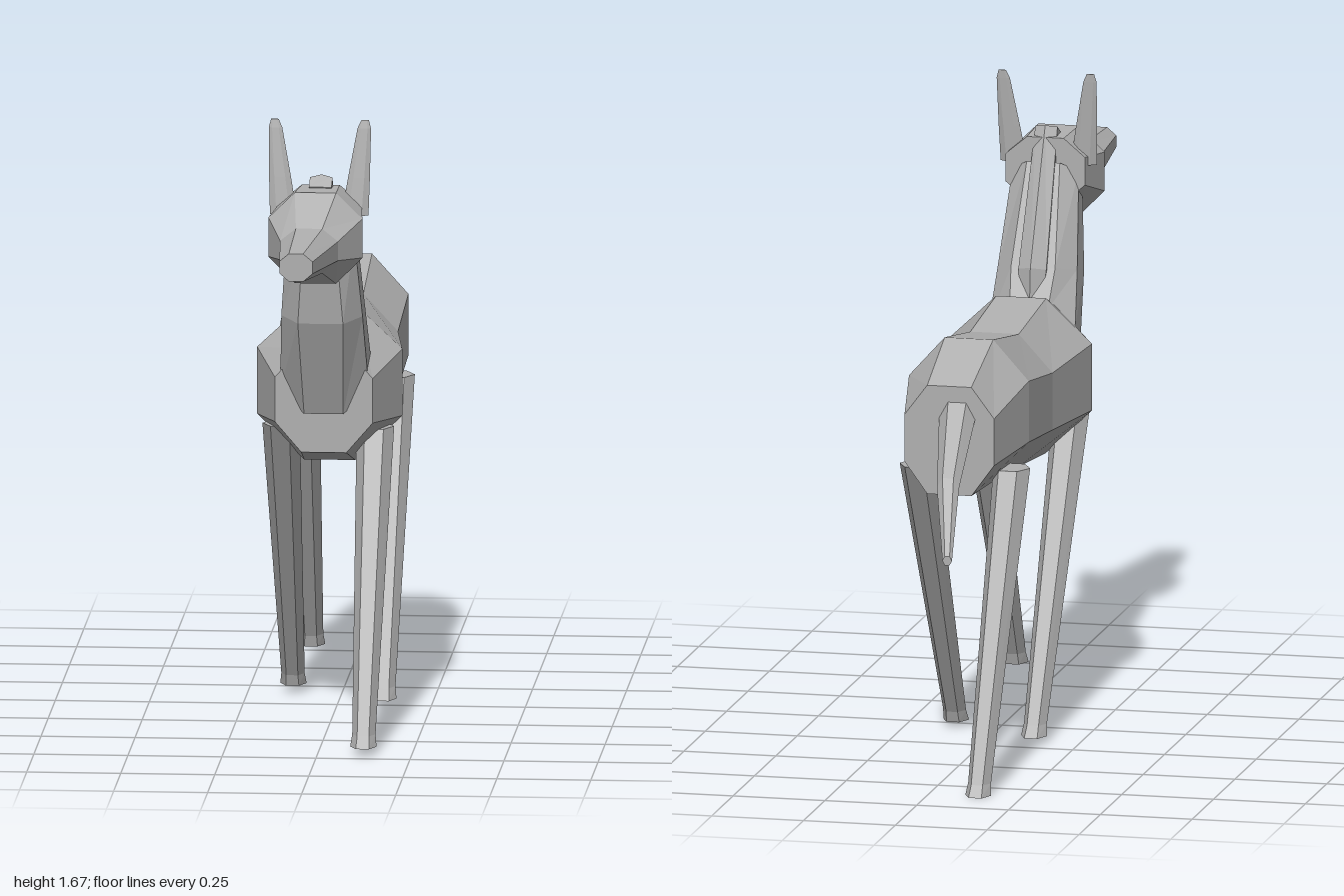
import * as THREE from 'three';

const grey = new THREE.MeshStandardMaterial({ color: 0xb0b0b0, flatShading: true });
grey.name = 'stone grey';

// Octagonal ring spanning from a lower [z, y] to an upper [z, y] point,
// w = half width, a = half width of the flat ends.
function octRing(x, low, high, w, a) {
  const corners = [[a, 0], [w, 0.29], [w, 0.72], [a, 1], [-a, 1], [-w, 0.72], [-w, 0.29], [-a, 0]];
  return corners.map(([dx, t]) => new THREE.Vector3(
    x + dx,
    THREE.MathUtils.lerp(low[1], high[1], t),
    THREE.MathUtils.lerp(low[0], high[0], t)));
}

// Six-sided ring lying level at height y.
function levelRing(x, y, z, rx, rz) {
  return Array.from({ length: 6 }, (_, i) => {
    const a = i * Math.PI / 3;
    return new THREE.Vector3(x + Math.cos(a) * rx, y, z + Math.sin(a) * rz);
  });
}

// Six-sided upright ring at depth z.
function uprightRing(x, y, z, rx, ry) {
  return Array.from({ length: 6 }, (_, i) => {
    const a = i * Math.PI / 3;
    return new THREE.Vector3(x + Math.cos(a) * rx, y + Math.sin(a) * ry, z);
  });
}

// Skins a list of rings, caps both ends and makes all faces point outwards.
function loft(name, rings) {
  const n = rings[0].length, tris = [];
  for (let r = 0; r < rings.length - 1; r++) {
    for (let i = 0; i < n; i++) {
      const j = (i + 1) % n, A = rings[r], B = rings[r + 1];
      tris.push([A[i], A[j], B[j]], [A[i], B[j], B[i]]);
    }
  }
  const first = rings[0], last = rings[rings.length - 1];
  for (let i = 1; i < n - 1; i++) {
    tris.push([first[0], first[i + 1], first[i]], [last[0], last[i], last[i + 1]]);
  }
  const cross = new THREE.Vector3();
  const volume = tris.reduce((s, [a, b, c]) => s + a.dot(cross.crossVectors(b, c)), 0);
  if (volume < 0) tris.forEach(t => t.reverse());
  const geometry = new THREE.BufferGeometry().setFromPoints(tris.flat());
  geometry.computeVertexNormals();
  const mesh = new THREE.Mesh(geometry, grey);
  mesh.name = name;
  return mesh;
}

export function createModel() {
  const model = new THREE.Group();
  model.name = 'deer';
  const cx = -0.005;

  // Body: z, bottom, top, half width
  model.add(loft('body', [
    [0.41, 0.76, 1.04, 0.13, 0.06],
    [0.2, 0.7, 1.12, 0.193, 0.068],
    [-0.11, 0.73, 1.09, 0.158, 0.066],
    [-0.41, 0.755, 1.14, 0.163, 0.066],
    [-0.64, 0.765, 1.06, 0.122, 0.06],
  ].map(([z, b, t, w, a]) => octRing(cx, [z, b], [z, t], w, a))));

  // Neck: front point, back point, half width
  model.add(loft('neck', [
    octRing(cx, [0.415, 0.865], [0.29, 1.07], 0.118, 0.052),
    octRing(cx, [0.528, 1.13], [0.34, 1.17], 0.108, 0.06),
    octRing(cx, [0.56, 1.34], [0.46, 1.43], 0.09, 0.045),
  ]));

  // Mane: narrow ridge along the back of the neck
  const maneRing = (y, z, w, h) => [
    new THREE.Vector3(cx - w, y - h * 0.5, z + h),
    new THREE.Vector3(cx - w, y - h * 0.1, z + h * 0.3),
    new THREE.Vector3(cx, y, z),
    new THREE.Vector3(cx + w, y - h * 0.1, z + h * 0.3),
    new THREE.Vector3(cx + w, y - h * 0.5, z + h),
  ];
  model.add(loft('mane', [
    maneRing(1.09, 0.3, 0.03, 0.06),
    maneRing(1.175, 0.308, 0.038, 0.08),
    maneRing(1.525, 0.482, 0.03, 0.05),
  ]));

  // Head and muzzle, turned slightly to the right
  model.add(loft('head', [
    [-0.008, 0.47, 1.32, 1.495, 0.108, 0.05],
    [-0.012, 0.61, 1.255, 1.5, 0.125, 0.055],
    [-0.02, 0.725, 1.305, 1.425, 0.077, 0.035],
    [-0.034, 1.0, 1.335, 1.41, 0.044, 0.019],
  ].map(([x, z, b, t, w, a]) => octRing(x, [z, b], [z, t], w, a))));

  for (const side of [1, -1]) {
    const name = side > 0 ? 'left' : 'right';

    // Ear: thin tapering blade
    const ex = -0.01;
    model.add(loft(name + 'Ear', [
      levelRing(ex + side * 0.095, 1.42, 0.503, 0.036, 0.012),
      levelRing(ex + side * 0.105, 1.52, 0.492, 0.029, 0.009),
      levelRing(ex + side * 0.118, 1.65, 0.478, 0.018, 0.004),
      levelRing(ex + side * 0.12, 1.672, 0.475, 0.01, 0.002),
    ]));

    // Legs in stride: hip z, ground z, ground y
    const legs = side > 0
      ? { FrontLeg: [0.26, 0.68, 0.02], HindLeg: [-0.463, -0.018, 0.015] }
      : { FrontLeg: [0.24, -0.19, 0.02], HindLeg: [-0.45, -0.842, 0] };
    for (const [part, [top, foot, ground]] of Object.entries(legs)) {
      const x = cx + side * 0.126;
      const ankle = THREE.MathUtils.lerp(foot, top, 0.04);
      model.add(loft(name + part, [
        levelRing(x, 0.805, top, 0.05, 0.056),
        levelRing(x, ground + 0.03, ankle, 0.031, 0.037),
        levelRing(x, ground, foot, 0.035, 0.046),
      ]));
    }
  }

  // Tail, drooping and swung to the right
  model.add(loft('tail', [
    uprightRing(-0.025, 0.98, -0.63, 0.05, 0.052),
    uprightRing(-0.048, 0.83, -0.84, 0.03, 0.03),
    uprightRing(-0.083, 0.668, -1.0, 0.013, 0.014),
  ]));

  return model;
}
